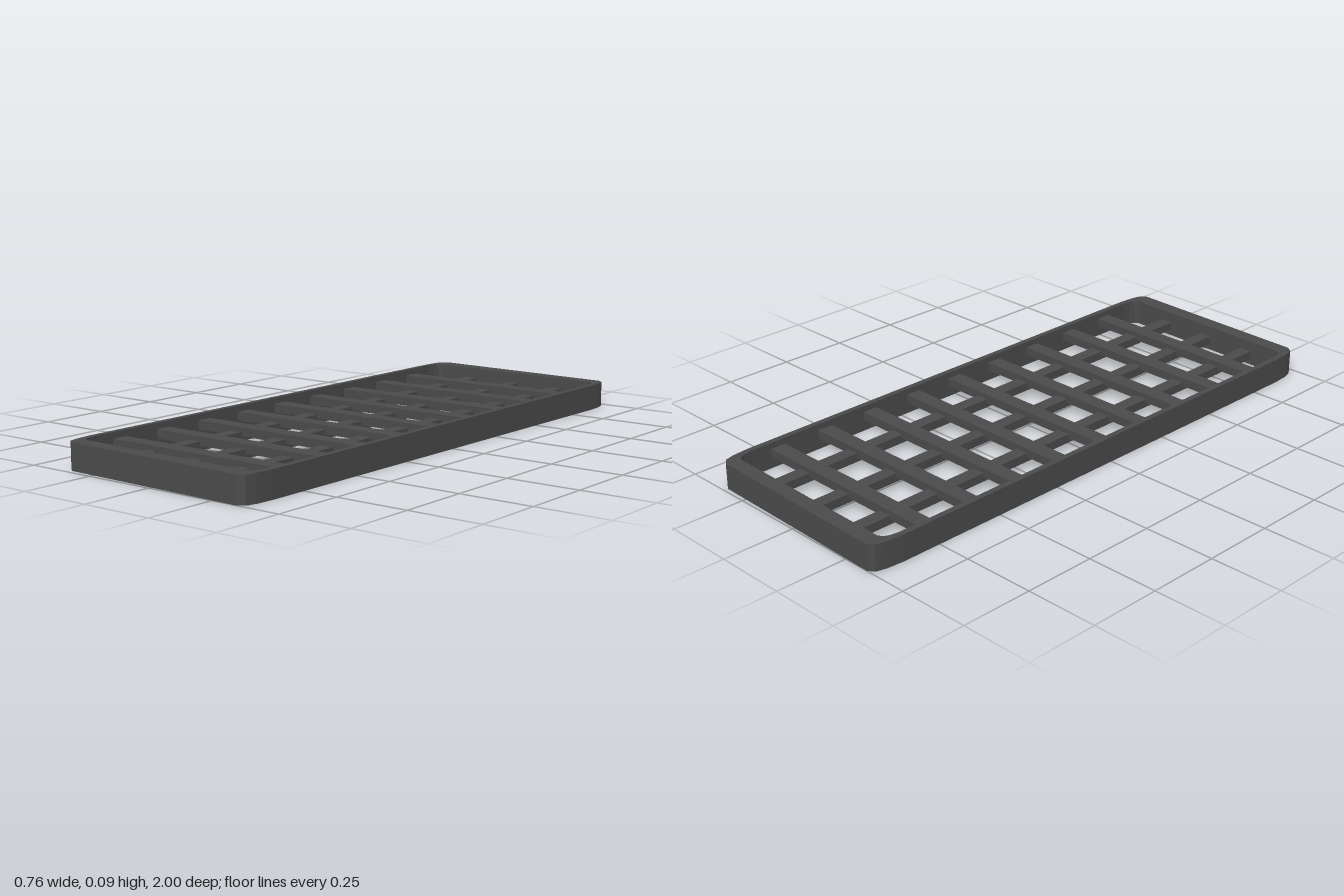
import * as THREE from 'three';

export function createModel() {
  const group = new THREE.Group();
  const charcoal = new THREE.MeshStandardMaterial({ color: 0x4a4a4a, flatShading: true });
  charcoal.name = 'charcoal';

  // Rounded, slightly skewed outline: four points per corner, in (x, z)
  const outline = (hx, xs, backL, backR, frontL, frontR, steps) => {
    const points = [];
    const corner = (sx, z, sz, reverse) => {
      const pts = [
        [sx * hx, z - sz * steps[0]],
        [sx * (hx - 0.005), z - sz * steps[1]],
        [sx * (hx - 0.014), z - sz * steps[2]],
        [sx * xs, z],
      ];
      points.push(...(reverse ? pts.reverse() : pts));
    };
    corner(-1, backL, -1, false);
    corner(1, backR, -1, true);
    corner(1, frontR, 1, false);
    corner(-1, frontL, 1, true);
    return points.map(([x, z]) => new THREE.Vector2(x, -z));
  };

  // Upright rim; the hole runs the other way round so its walls face inward
  const shape = new THREE.Shape(outline(0.38, 0.345, -1, -0.985, 0.982, 1, [0.11, 0.05, 0.016]));
  const hole = outline(0.36, 0.33, -0.945, -0.935, 0.93, 0.94, [0.06, 0.027, 0.009]);
  shape.holes.push(new THREE.Path(hole.reverse()));
  const rimGeometry = new THREE.ExtrudeGeometry(shape, { depth: 0.089, bevelEnabled: false });
  rimGeometry.rotateX(-Math.PI / 2);
  const rim = new THREE.Mesh(rimGeometry, charcoal);
  rim.name = 'rim';
  group.add(rim);

  const addBar = (name, w, h, d, x, y, z) => {
    const bar = new THREE.Mesh(new THREE.BoxGeometry(w, h, d), charcoal);
    bar.name = name;
    bar.position.set(x, y, z);
    group.add(bar);
  };

  // Long bars, with the cross bars laid over them
  for (let i = -1; i <= 1; i++) addBar('longBar', 0.047, 0.03, 1.89, i * 0.192 - 0.002, 0.037, -0.003);
  for (let i = -4; i <= 4; i++) addBar('crossBar', 0.725, 0.03, 0.055, 0, 0.053, i * 0.1925 - 0.003);

  return group;
}
